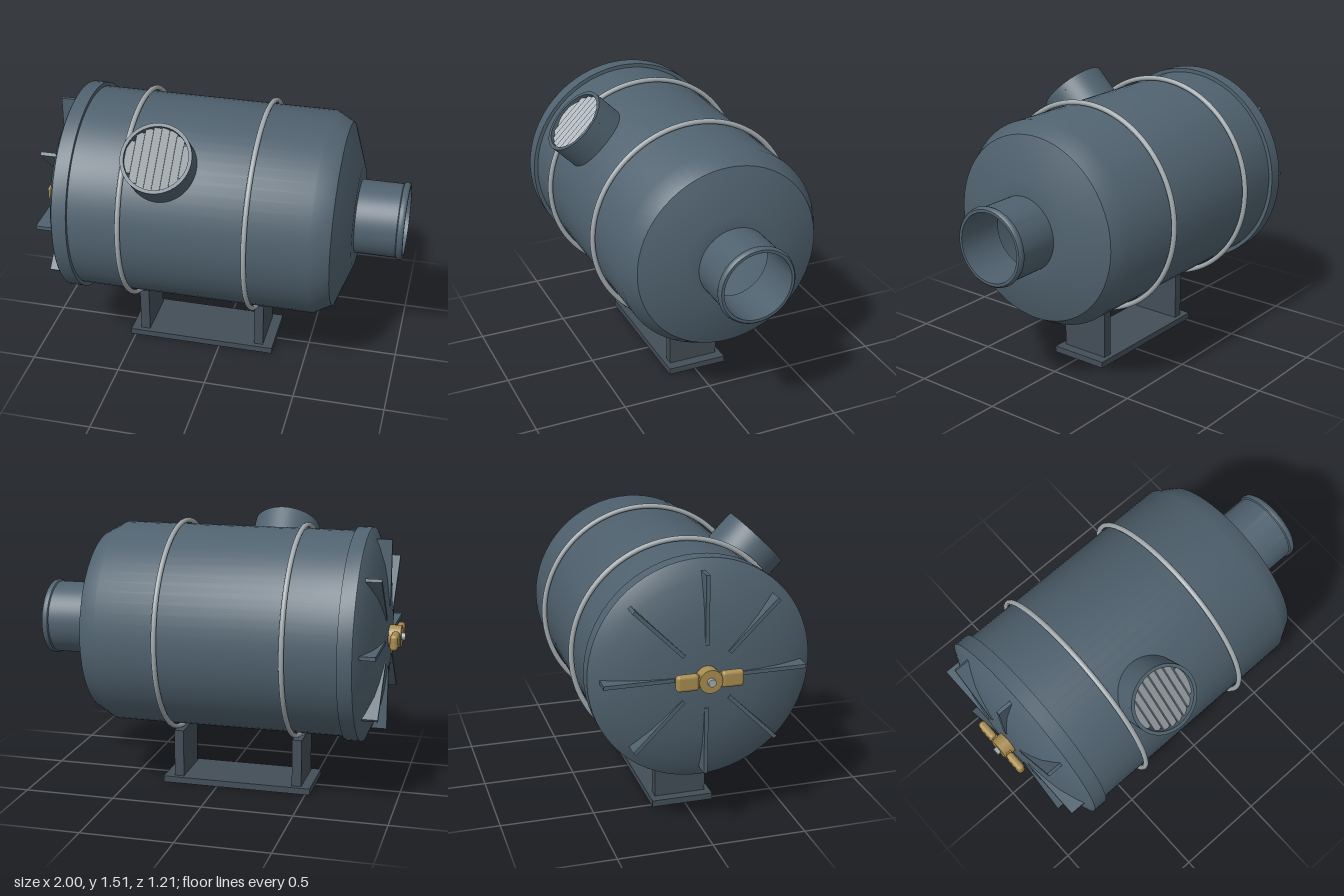
import * as THREE from 'three';
import { toCreasedNormals } from 'three/addons/utils/BufferGeometryUtils.js';
import { RoundedBoxGeometry } from 'three/addons/geometries/RoundedBoxGeometry.js';

const paint = new THREE.MeshStandardMaterial({ color: 0x50626f, side: THREE.DoubleSide });
const dark = new THREE.MeshStandardMaterial({ color: 0x434e57 });
const steel = new THREE.MeshStandardMaterial({ color: 0xa3abaf });
const brass = new THREE.MeshStandardMaterial({ color: 0xa88c50 });

function add(parent, name, geometry, material, x = 0, y = 0, z = 0) {
  const mesh = new THREE.Mesh(geometry, material);
  mesh.name = name;
  mesh.position.set(x, y, z);
  parent.add(mesh);
  return mesh;
}

// Turned part from [radius, height] pairs around y
function turned(points, crease = 0.6) {
  const profile = points.map(([r, h]) => new THREE.Vector2(r, h));
  return toCreasedNormals(new THREE.LatheGeometry(profile, 64), crease);
}

// Turned part or cylinder laid along +x
const alongX = (geometry) => geometry.rotateZ(-Math.PI / 2);
const rod = (r, length, sides = 32) => alongX(new THREE.CylinderGeometry(r, r, length, sides));

export function createModel() {
  const model = new THREE.Group();
  model.name = 'airFilterHousing';

  const canister = new THREE.Group();
  canister.name = 'canister';
  canister.position.set(0, 0.885, -0.016);
  model.add(canister);

  // Hollow body with shoulder and beaded outlet pipe
  add(canister, 'body', alongX(turned([
    [0.555, -0.8], [0.555, 0.56], [0.5, 0.66], [0.275, 0.74], [0.2, 0.741],
  ])), paint);
  add(canister, 'outletPipe', alongX(turned([
    [0.2, 0.735], [0.2, 0.962], [0.207, 0.967], [0.211, 0.98], [0.207, 0.994],
    [0.2, 1], [0.185, 1], [0.185, 0.735], [0.2, 0.735],
  ])), paint);

  // Domed lid with collar and radial ribs
  add(canister, 'lid', alongX(turned([
    [0, -0.915], [0.2, -0.908], [0.3, -0.896], [0.385, -0.88], [0.48, -0.848],
    [0.57, -0.81], [0.576, -0.805], [0.576, -0.727], [0.555, -0.727],
  ])), paint);
  const ribShape = new THREE.Shape([
    [-0.915, 0.165], [-0.915, 0.52], [-0.825, 0.52], [-0.872, 0.385], [-0.905, 0.165],
  ].map(([x, r]) => new THREE.Vector2(x, r)));
  const ribGeometry = new THREE.ExtrudeGeometry(ribShape, { depth: 0.02, bevelEnabled: false });
  ribGeometry.translate(0, 0, -0.01);
  for (let i = 0; i < 8; i++) {
    add(canister, 'lidRib', ribGeometry, paint).rotation.x = i * Math.PI / 4;
  }

  // Wing nut on its stud
  add(canister, 'stud', rod(0.02, 0.13), steel, -0.935);
  add(canister, 'innerWasher', rod(0.065, 0.01), steel, -0.9);
  add(canister, 'wingNutHub', rod(0.06, 0.065), brass, -0.947);
  for (const side of [-1, 1]) {
    add(canister, 'wingNutWing', new RoundedBoxGeometry(0.042, 0.085, 0.115, 3, 0.018),
      brass, -0.957, 0, side * 0.115);
    add(canister, 'wingNutNeck', new THREE.BoxGeometry(0.028, 0.06, 0.05), brass, -0.952, 0, side * 0.06);
  }

  // Inlet pipe leaning forward at 45 degrees, with slats across its mouth
  const inlet = new THREE.Group();
  inlet.name = 'inlet';
  inlet.position.x = -0.248;
  inlet.rotation.x = Math.PI / 4;
  canister.add(inlet);
  add(inlet, 'inletPipe', turned([
    [0.187, 0.5], [0.187, 0.69], [0.168, 0.69], [0.168, 0.5], [0.187, 0.5],
  ]), paint);
  for (let i = 0; i < 8; i++) {
    const x = (i - 3.5) * 0.042;
    const chord = 2 * Math.sqrt(0.17 ** 2 - x ** 2);
    add(inlet, 'inletSlat', new THREE.BoxGeometry(0.044, 0.006, chord), steel, x, 0.662).rotation.z = -0.45;
  }

  // Mounting bands, clamps and posts
  for (const x of [-0.446, 0.226]) {
    const ring = new THREE.TorusGeometry(0.573, 0.014, 12, 96).rotateY(Math.PI / 2);
    add(canister, 'band', ring, steel, x);
    add(canister, 'bandClamp', new THREE.BoxGeometry(0.036, 0.03, 0.08), steel, x, -0.574);
    add(model, 'post', new THREE.BoxGeometry(0.053, 0.27, 0.28), dark, x, 0.165, -0.013);
  }
  add(model, 'basePlate', new THREE.BoxGeometry(0.835, 0.035, 0.335), dark, -0.108, 0.0175, -0.013);

  return model;
}
